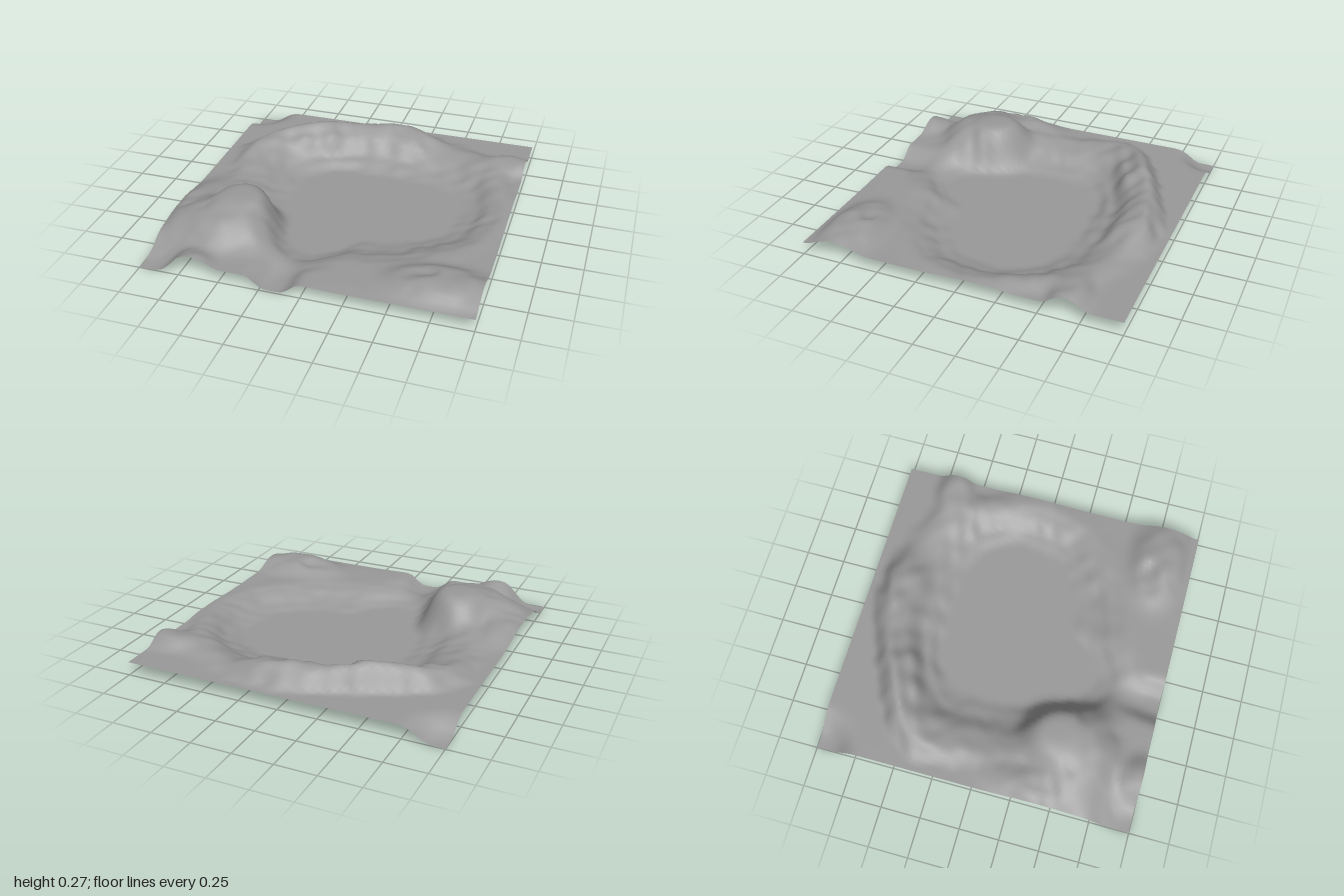
import * as THREE from 'three';

const SEGMENTS = 72;
const GROUND = 0.085;
const CENTRE = { x: 0.15, z: -0.05 };

// Crater outline every 22.5 degrees, from +x round through the back (-z)
const FOOT = [0.53, 0.54, 0.48, 0.42, 0.4, 0.43, 0.52, 0.58, 0.55, 0.58, 0.64, 0.68, 0.42, 0.4, 0.42, 0.5];
const CREST = [0.8, 0.78, 0.83, 0.78, 0.77, 0.78, 0.85, 1.0, 0.92, 0.92, 0.87, 0.92, 0.75, 0.75, 0.75, 0.8];
const RIM = [0.1, 0.115, 0.13, 0.115, 0.205, 0.2, 0.23, 0.165, 0.112, 0.14, 0.17, 0.06, 0.085, 0.085, 0.09, 0.09];

// Hills and hollows: x, z, radius x, radius z, height
const FEATURES = [
  [-0.89, 0.42, 0.11, 0.3, 0.155],   // outer shoulder of the big hill
  [-0.69, 1.0, 0.13, 0.12, 0.14],    // hump on the front edge
  [-0.62, 0.57, 0.23, 0.22, 0.232],  // big hill, front shoulder
  [-0.56, 0.42, 0.17, 0.175, 0.27],  // big hill, summit
  [0.77, 0.78, 0.28, 0.16, 0.157],   // front hill
  [0.65, 0.73, 0.07, 0.05, 0.13],    // hollow on the front hill
  [0.9, -0.66, 0.16, 0.1, 0.152],    // back knoll
  [-0.17, 0.98, 0.11, 0.22, 0.01],   // front gully
  [-1, 1, 0.2, 0.2, 0],              // low corners
  [-1, -1, 0.17, 0.17, 0],
];

const { smoothstep, lerp } = THREE.MathUtils;

// Smooth closed interpolation of a ring of values
function around(list, turn) {
  const n = list.length;
  const f = turn * n;
  const i = Math.floor(f);
  const [a, b, c, d] = [-1, 0, 1, 2].map((k) => list[(i + k + n) % n]);
  const t = f - i;
  return b + 0.5 * t * (c - a + t * (2 * a - 5 * b + 4 * c - d + t * (3 * (b - c) + d - a)));
}

// Uneven ripple from -1 to 1, used for weathering
function ripple(x, z) {
  return 0.55 * Math.sin(x * 13 + 2.2 * Math.sin(z * 7 + 1)) * Math.sin(z * 15 + 2 * Math.sin(x * 6))
    + 0.45 * Math.sin(x * 29 + z * 11 + 2 * Math.sin(z * 13)) * Math.sin(z * 25 - x * 9);
}

function heightAt(x, z) {
  const dx = x - CENTRE.x;
  const dz = z - CENTRE.z;
  const turn = (Math.atan2(-dz, dx) / (2 * Math.PI) + 1) % 1;
  const weather = ripple(x, z);
  const r = Math.hypot(dx, dz) + 0.025 * weather;
  const foot = around(FOOT, turn);
  const crest = around(CREST, turn);
  const rim = around(RIM, turn);

  // Flat floor, low terrace, steep wall, sloping shelf, then outer slope
  const s = (r - foot) / (crest - foot);
  let h = rim * (0.22 * smoothstep(s, 0, 0.35) + 0.56 * smoothstep(s, 0.32, 0.73) + 0.22 * smoothstep(s, 0.65, 1));
  h = lerp(h, GROUND, smoothstep(r - crest, 0.01, 0.14));

  for (const [fx, fz, rx, rz, target] of FEATURES) {
    const d2 = ((x - fx) / rx) ** 2 + ((z - fz) / rz) ** 2;
    h = lerp(h, target, Math.exp(-d2 * d2 * 0.7) * (1 - 0.12 * Math.abs(weather) * smoothstep(d2, 0.1, 0.8)));
  }

  // Weathering on raised ground only
  h += 0.012 * weather * smoothstep(h, 0.088, 0.15) * (1 - smoothstep(h, 0.22, 0.265));

  // The front edge falls back to ground level
  if (x > 0) h = lerp(h, Math.min(h, 0.08), smoothstep(z, 0.92, 1) * smoothstep(x, 0, 0.3));
  return Math.max(0, h);
}

export function createModel() {
  const group = new THREE.Group();
  group.name = 'craterTerrain';

  const geometry = new THREE.PlaneGeometry(2, 2, SEGMENTS, SEGMENTS);
  geometry.rotateX(-Math.PI / 2);
  const position = geometry.attributes.position;
  for (let i = 0; i < position.count; i++) {
    position.setY(i, heightAt(position.getX(i), position.getZ(i)));
  }
  geometry.computeVertexNormals();

  const material = new THREE.MeshStandardMaterial({ color: 0x9a9a9a, side: THREE.DoubleSide });
  const terrain = new THREE.Mesh(geometry, material);
  terrain.name = 'terrain';
  group.add(terrain);
  return group;
}
